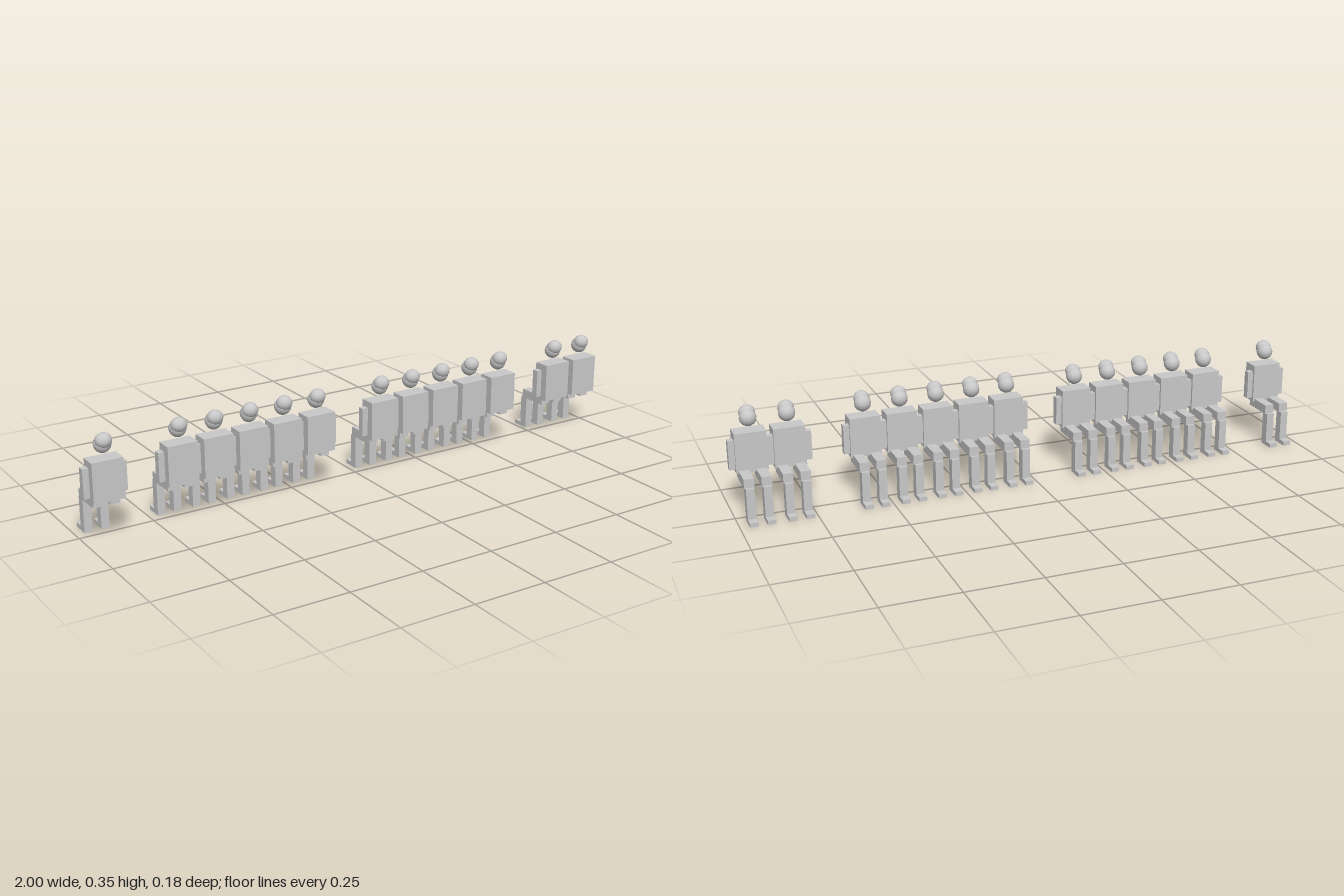
import * as THREE from 'three';

const grey = new THREE.MeshStandardMaterial({ color: 0xc8c8c8 });
grey.name = 'lightGrey';

// Box from its x centre, width and its y and z limits
function box(name, x, w, y0, y1, z0, z1) {
  const mesh = new THREE.Mesh(new THREE.BoxGeometry(w, y1 - y0, z1 - z0), grey);
  mesh.name = name;
  mesh.position.set(x, (y0 + y1) / 2, (z0 + z1) / 2);
  return mesh;
}

// Coarse smooth ball, widened sideways by a factor
function ball(name, r, widen, y, z) {
  const mesh = new THREE.Mesh(new THREE.SphereGeometry(r, 12, 8), grey);
  mesh.name = name;
  mesh.scale.x = widen;
  mesh.position.set(0, y, z);
  return mesh;
}

// One seated person, knees pointing to -z
function createPerson() {
  const person = new THREE.Group();
  person.name = 'seatedPerson';
  person.add(
    box('torso', 0, 0.103, 0.1375, 0.27, 0.0295, 0.0875),
    ball('head', 0.028, 1, 0.3125, 0.054),
    ball('hair', 0.0245, 1.1, 0.3265, 0.0645)
  );
  for (const s of [-1, 1]) {
    const side = s > 0 ? 'left' : 'right';
    person.add(
      box(side + 'Arm', s * 0.0605, 0.022, 0.15, 0.247, 0.0375, 0.061),
      box(side + 'Thigh', s * 0.028, 0.033, 0.115, 0.146, -0.047, 0.061),
      box(side + 'Shin', s * 0.028, 0.027, 0, 0.116, -0.058, -0.0285),
      box(side + 'Foot', s * 0.028, 0.027, 0, 0.0145, -0.088, -0.058)
    );
  }
  return person;
}

export function createModel() {
  const model = new THREE.Group();
  model.name = 'seatedRow';
  // Sixteen seats in a row, three of them empty
  const empty = [1, 7, 13];
  for (let i = 0; i < 16; i++) {
    if (empty.includes(i)) continue;
    const person = createPerson();
    person.position.x = -0.9285 + i * 0.1238;
    model.add(person);
  }
  return model;
}
